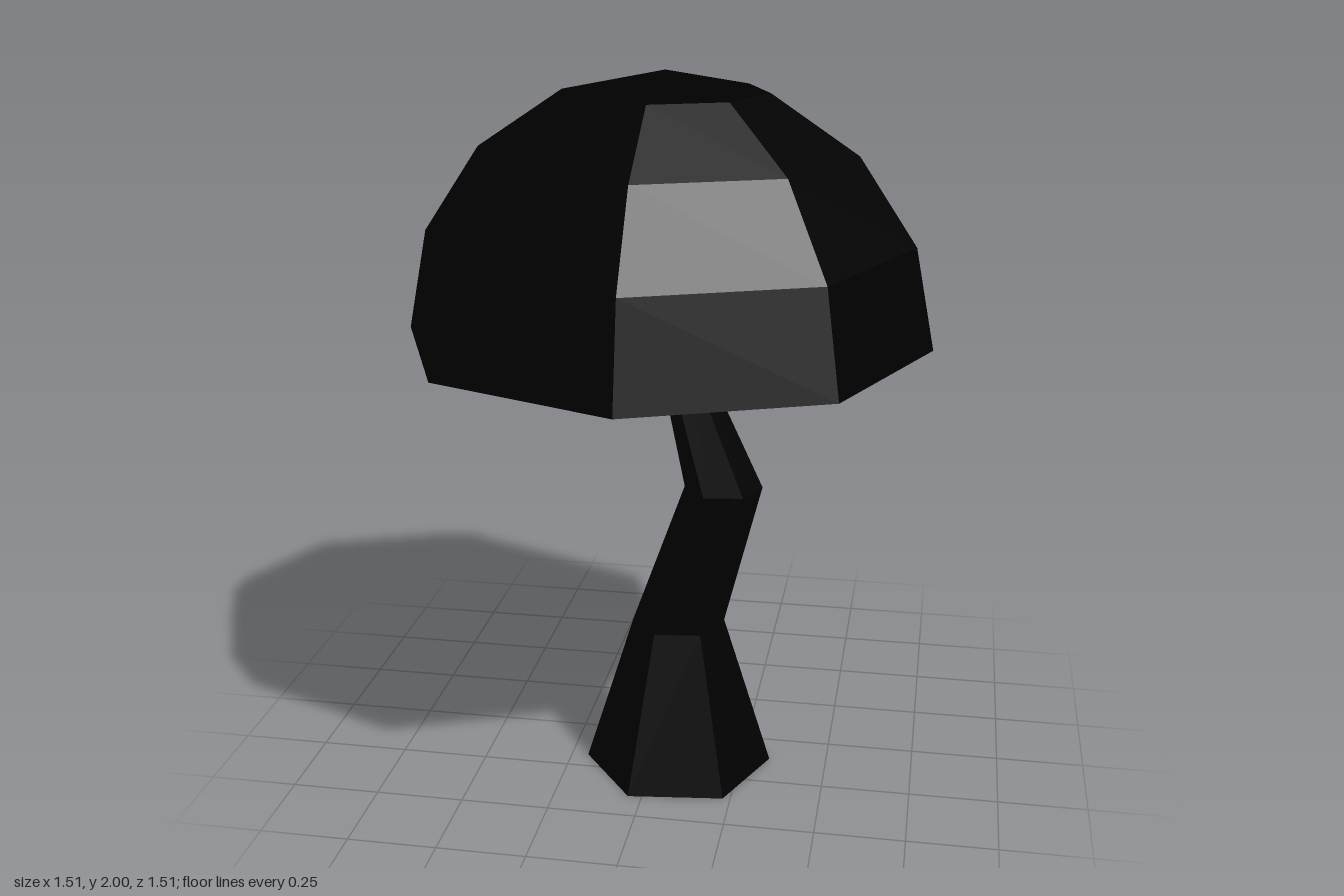
import * as THREE from 'three';

// Double-sided because the cap is an open shell
const black = new THREE.MeshStandardMaterial({ color: 0x000000, flatShading: true, side: THREE.DoubleSide });
black.name = 'black';

// Crooked stem: six-sided rings [x, y, z, radius] joined from the ground up
function stemGeometry(rings, sides, turn) {
  const positions = [];
  const corner = ([x, y, z, r], i) => {
    const a = turn + (i / sides) * Math.PI * 2;
    return [x + r * Math.sin(a), y, z + r * Math.cos(a)];
  };
  const base = rings[0];
  const top = rings[rings.length - 1];
  for (let i = 0; i < sides; i++) {
    for (let k = 0; k < rings.length - 1; k++) {
      const a = corner(rings[k], i), b = corner(rings[k], i + 1);
      const c = corner(rings[k + 1], i + 1), d = corner(rings[k + 1], i);
      positions.push(...a, ...b, ...c, ...a, ...c, ...d);
    }
    positions.push(...base.slice(0, 3), ...corner(base, i + 1), ...corner(base, i));
    positions.push(...top.slice(0, 3), ...corner(top, i), ...corner(top, i + 1));
  }
  const geometry = new THREE.BufferGeometry();
  geometry.setAttribute('position', new THREE.Float32BufferAttribute(positions, 3));
  geometry.computeVertexNormals();
  return geometry;
}

export function createModel() {
  const group = new THREE.Group();
  group.name = 'mushroom';

  const stem = new THREE.Mesh(stemGeometry([
    [0.066, 0, 0.15, 0.27],
    [0.066, 0.45, 0.15, 0.131],
    [0.194, 0.87, 0.163, 0.109],
    [0.08, 1.2, 0.15, 0.066],
    [-0.02, 1.42, 0.142, 0.045],
  ], 6, THREE.MathUtils.degToRad(37)), black);
  stem.name = 'stem';

  // Eight-sided half dome, open below
  const capRadius = 0.753;
  const cap = new THREE.Mesh(
    new THREE.SphereGeometry(capRadius, 8, 4, 0, Math.PI * 2, 0, Math.PI / 2), black);
  cap.name = 'cap';
  cap.position.y = 2 - capRadius;

  group.add(stem, cap);
  return group;
}
